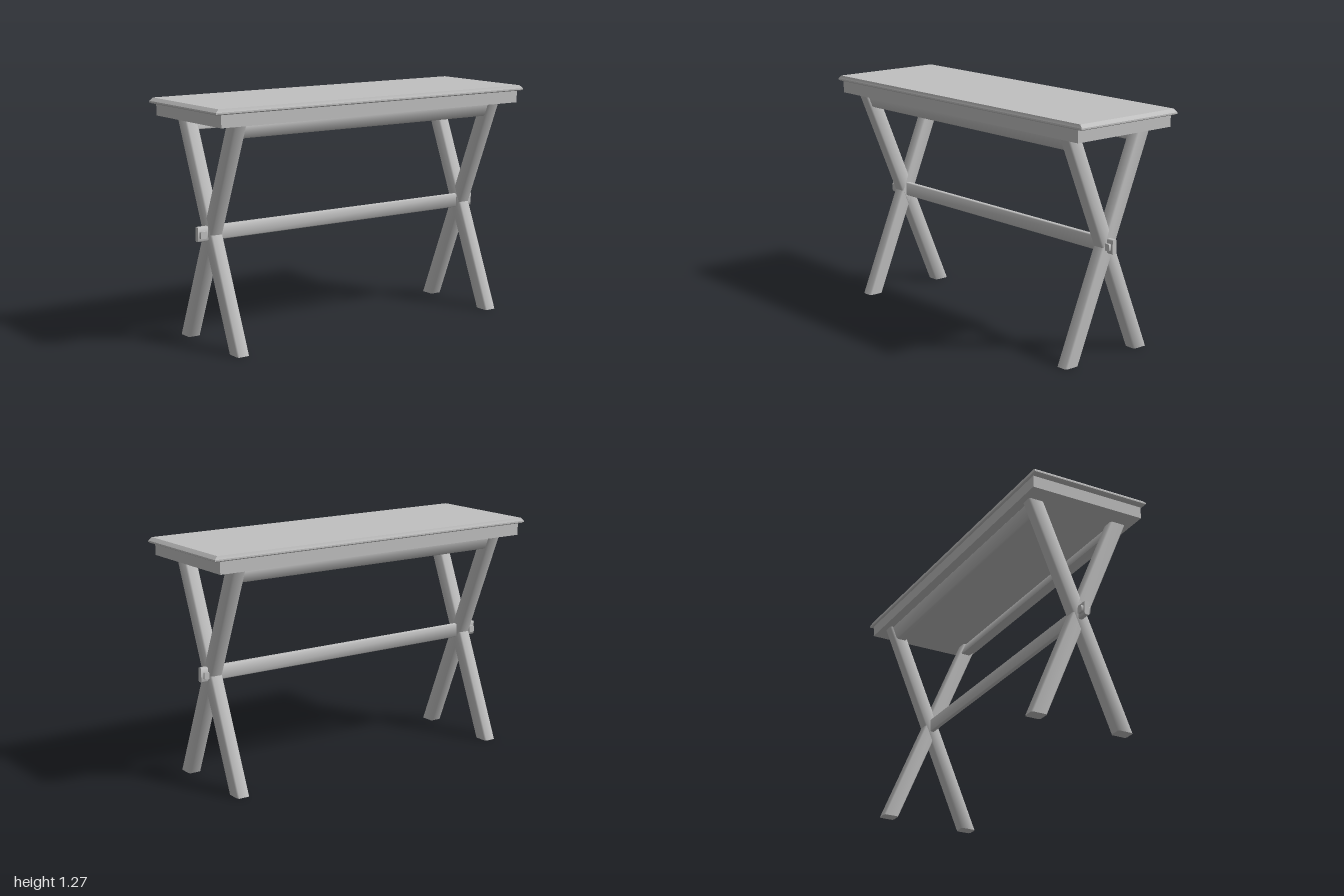
import * as THREE from 'three';
import { toCreasedNormals } from 'three/addons/utils/BufferGeometryUtils.js';

const LEG_H = 1.18, MID = LEG_H / 2, SLOPE = 0.49 / LEG_H;

// Rectangle with chamfered corners, centred on the origin
function chamferedRect(w, h, c) {
  const x = w / 2, y = h / 2;
  return new THREE.Shape([
    [x - c, -y], [x, -y + c], [x, y - c], [x - c, y],
    [-x + c, y], [-x, y - c], [-x, -y + c], [-x + c, -y],
  ].map(([a, b]) => new THREE.Vector2(a, b)));
}

// Chamfered bar along z, centred on the origin, soft along its edges and sharp at its ends
function bar(w, h, length, chamfer) {
  return new THREE.ExtrudeGeometry(chamferedRect(w, h, chamfer), { depth: length, bevelEnabled: false })
    .translate(0, 0, -length / 2);
}

// Lean a part along the line of the crossed legs
function lean(geometry, slope) {
  const p = geometry.attributes.position;
  for (let i = 0; i < p.count; i++) p.setZ(i, p.getZ(i) + slope * (p.getY(i) - MID));
  return geometry;
}

// Stacked rectangular rings [y, halfX, halfZ], closed at both ends
function moulding(rings) {
  const pos = [], idx = [];
  for (const [y, x, z] of rings) pos.push(x, y, z, x, y, -z, -x, y, -z, -x, y, z);
  for (let r = 0; r < rings.length - 1; r++) {
    for (let k = 0; k < 4; k++) {
      const a = r * 4 + k, b = r * 4 + (k + 1) % 4;
      idx.push(a, b, b + 4, a, b + 4, a + 4);
    }
  }
  const t = (rings.length - 1) * 4;
  idx.push(t, t + 1, t + 2, t, t + 2, t + 3, 0, 2, 1, 0, 3, 2);
  const g = new THREE.BufferGeometry();
  g.setAttribute('position', new THREE.Float32BufferAttribute(pos, 3));
  g.setIndex(idx);
  return g.toNonIndexed();
}

export function createModel() {
  const table = new THREE.Group();
  table.name = 'trestleTable';
  const grey = new THREE.MeshStandardMaterial({ color: 0xc0c0c0 });
  grey.name = 'grey';

  const add = (name, geometry, crease = 0.95) => {
    const mesh = new THREE.Mesh(toCreasedNormals(geometry, crease), grey);
    mesh.name = name;
    table.add(mesh);
  };

  // Top with a moulded edge, and the apron block below it
  add('tabletop', moulding([
    [1.245, 0.99, 0.326], [1.25, 1, 0.333], [1.258, 1, 0.333],
    [1.266, 0.992, 0.329], [1.275, 0.982, 0.326],
  ]), 0.3);
  add('apron', new THREE.BoxGeometry(1.93, 0.068, 0.645).translate(0, 1.214, 0), 0.3);

  for (const side of [-1, 1]) {
    // Crossed legs at each end
    for (const slope of [-SLOPE, SLOPE]) {
      const leg = bar(0.07, 0.087, LEG_H, 0.008).rotateX(-Math.PI / 2).translate(side * 0.83, MID, 0);
      add('leg', lean(leg, slope));
    }
    // Long rails under the apron, front and back
    const rail = bar(0.06, 0.073, 1.59, 0.006).rotateY(Math.PI / 2).translate(0, 1.1445, 0);
    add('upperRail', lean(rail, side * SLOPE));
  }

  // Stretcher through both leg crossings, held by a pin at each end
  add('stretcher', bar(0.027, 0.077, 1.83, 0.005).rotateY(Math.PI / 2).translate(-0.01, 0.5965, 0));
  for (const x of [-0.898, 0.875]) {
    add('stretcherPin', bar(0.035, 0.037, 0.054, 0.004).translate(x, 0.593, 0));
  }
  return table;
}
